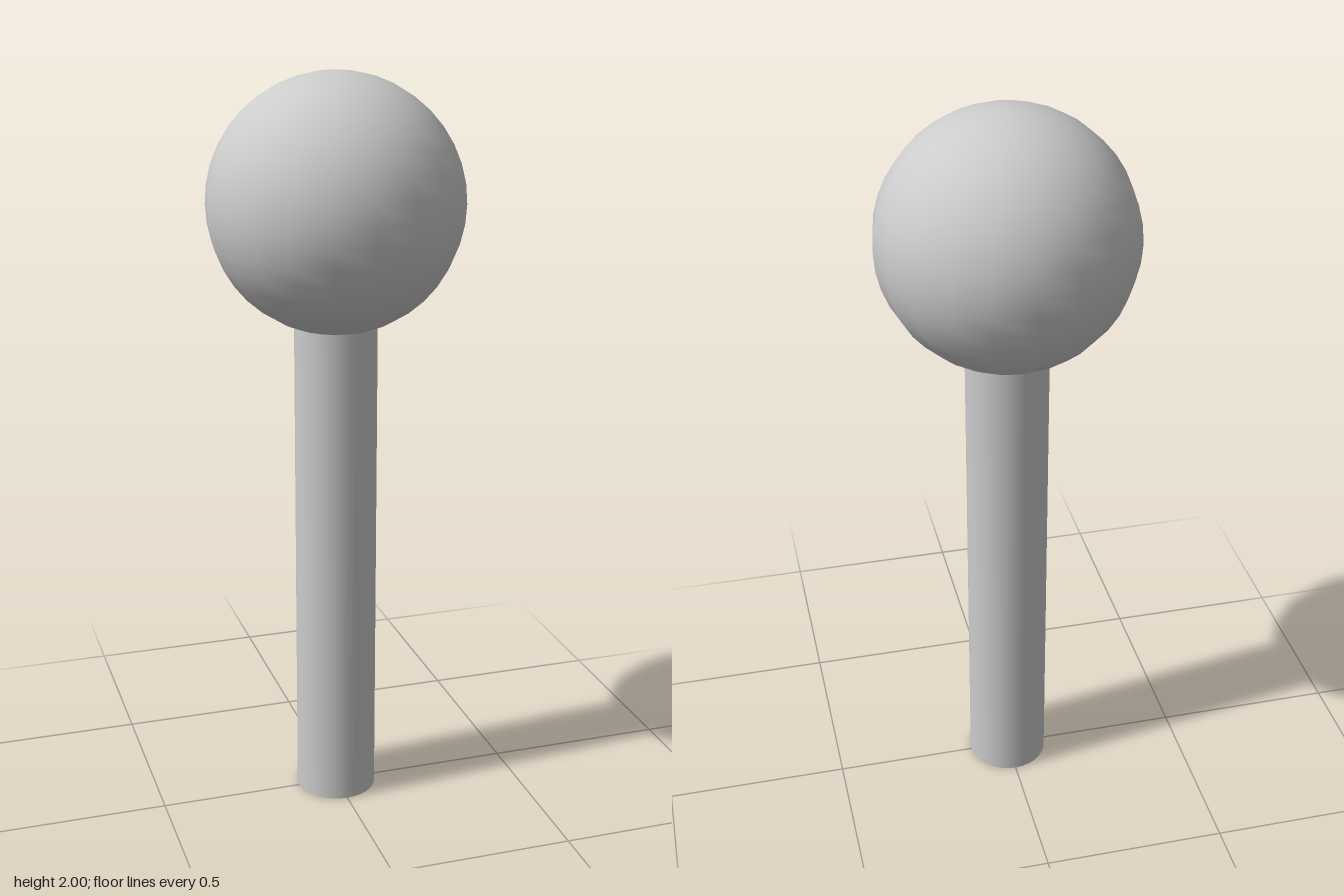
import * as THREE from 'three';

export function createModel() {
  const group = new THREE.Group();
  const material = new THREE.MeshStandardMaterial({ color: 0xcccccc });

  const addPart = (name, geometry, y) => {
    const mesh = new THREE.Mesh(geometry, material);
    mesh.name = name;
    mesh.position.y = y;
    group.add(mesh);
  };

  // Round head
  const headRadius = 0.336;
  addPart('head', new THREE.SphereGeometry(headRadius, 20, 20), 2 - headRadius);

  // Straight post, its top just meeting the head
  const postHeight = 1.348;
  addPart('post', new THREE.CylinderGeometry(0.11, 0.11, postHeight, 32), postHeight / 2);

  return group;
}
